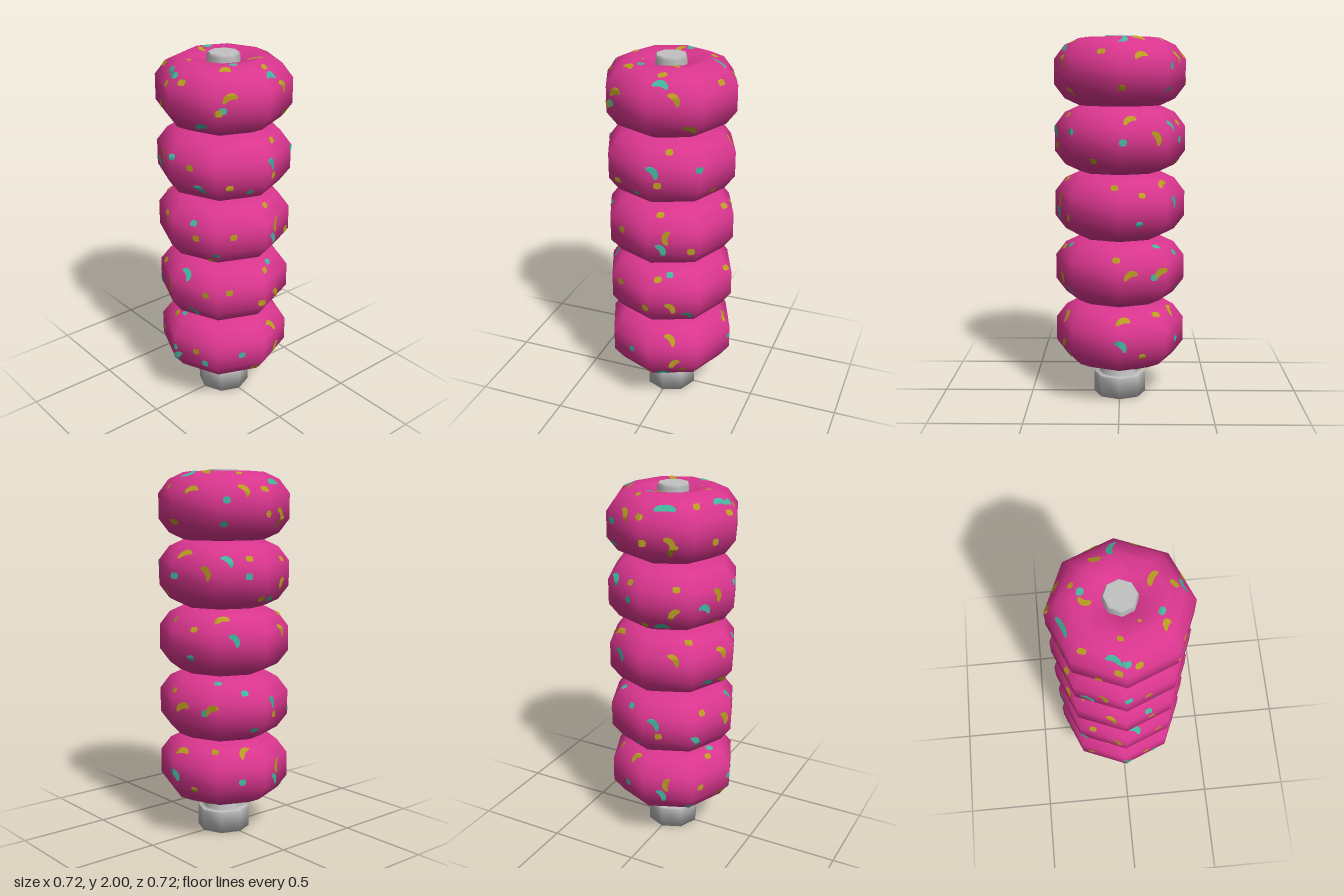
import * as THREE from 'three';

function material(name, color) {
  const m = new THREE.MeshStandardMaterial({ color });
  m.name = name;
  return m;
}
const icing = material('pinkIcing', 0xdb368f);
const metal = material('greyMetal', 0xc2c2c2);
const T = material('tealSprinkle', 0x44b59d);
const G = material('goldSprinkle', 0xb89c20);

const SIDES = 8, SPACING = 0.359, FIRST_Y = 0.371, RINGS = 5;
const { degToRad, radToDeg } = THREE.MathUtils;

// Upper half of a ring's cross-section, from waist to hole: [radius, height, distance along]
const half = [[0.357, 0], [0.357, 0.068], [0.3, 0.143], [0.22, 0.18], [0.14, 0.168], [0.08, 0.14]];
half.forEach((p, i) => {
  const q = half[Math.max(0, i - 1)];
  p.push(i ? q[2] + Math.hypot(p[0] - q[0], p[1] - q[1]) : 0);
});
const section = [...[...half].reverse().map(([r, y]) => [r, -y]), ...half.slice(1)]
  .map(([r, y]) => new THREE.Vector2(r, y));

// Linear lookup between two columns of the cross-section
function lookup(value, from, to, start = 0) {
  for (let i = start + 1; i < half.length; i++) {
    const a = half[i - 1], b = half[i];
    const t = (value - a[from]) / (b[from] - a[from]);
    if (t >= 0 && t <= 1) return a[to] + (b[to] - a[to]) * t;
  }
  return half[half.length - 1][to];
}

// Point just above the eight-sided ring, at an angle and a distance up from the waist
function surface(theta, s) {
  const wedge = 2 * Math.PI / SIDES;
  const within = theta - Math.floor(theta / wedge) * wedge - wedge / 2;
  const r = lookup(Math.abs(s), 2, 0), y = Math.sign(s) * lookup(Math.abs(s), 2, 1);
  const flat = (r + (r - 0.2) * 0.018) * Math.cos(wedge / 2) / Math.cos(within);
  return [flat * Math.sin(theta), y * 1.018, flat * Math.cos(theta)];
}

// Sprinkle: a thin bent capsule laid on the ring
function sprinkle(colour, theta, s, length, degrees, bend) {
  const along = 14, across = 4, width = Math.min(0.034, length * 0.8);
  const angle = degToRad(degrees), c = Math.cos(angle), sn = Math.sin(angle);
  const r = lookup(Math.abs(s), 2, 0);
  const pos = [], index = [];
  for (let i = 0; i <= along; i++) {
    const t = -1 + 2 * i / along;
    const halfWidth = width / 2 * Math.sqrt(Math.max(0, 1 - t ** 4));
    for (let j = 0; j <= across; j++) {
      const p = t * length / 2, q = bend * (0.5 - t * t) + halfWidth * (2 * j / across - 1);
      pos.push(...surface(theta + (p * c - q * sn) / r, s + p * sn + q * c));
      if (i < along && j < across) {
        const k = i * (across + 1) + j, n = k + across + 1;
        index.push(k, n, k + 1, k + 1, n, n + 1);
      }
    }
  }
  const g = new THREE.BufferGeometry();
  g.setAttribute('position', new THREE.Float32BufferAttribute(pos, 3));
  g.setIndex(index);
  g.computeVertexNormals();
  const mesh = new THREE.Mesh(g, colour);
  mesh.name = 'sprinkle';
  return mesh;
}

// Sprinkles per ring, bottom to top: [colour, across, up, angle]; those with an angle are long
const front = [
  [[T, 0, 0], [T, 0.02, -0.06, 65], [G, -0.05, -0.1, 5], [G, -0.21, 0], [T, -0.23, -0.12], [G, 0.14, 0.01],
    [T, -0.04, 0.16], [G, -0.1, 0.14]],
  [[T, 0.06, 0.11, -50], [G, -0.05, 0.02, -65], [T, -0.24, -0.06, -60], [T, 0.11, -0.1, -50], [G, -0.19, 0.09],
    [G, 0.2, 0.03], [G, -0.17, -0.14]],
  [[G, -0.08, 0.06, -50], [T, 0.13, 0.08], [G, 0.15, 0], [T, -0.15, -0.1, -20], [G, -0.03, -0.12, -45],
    [G, 0.19, -0.13], [G, -0.22, 0.14]],
  [[T, -0.2, -0.03, -25], [G, -0.12, 0.03, -65], [T, 0.01, 0.07], [G, 0.12, 0.03], [T, 0.17, -0.08, -30],
    [G, -0.07, -0.14], [G, -0.3, 0.08]],
  [[T, -0.06, 0.13, -10], [T, 0, 0.125], [G, -0.04, 0.08], [G, 0.06, 0.1], [G, -0.14, -0.05], [G, -0.31, -0.08, 60],
    [T, 0.16, -0.11, 20], [G, 0.26, -0.02], [G, -0.2, 0.13]],
];
const side = [
  [[T, -0.13, 0], [G, 0.11, 0.1, -50], [G, 0.14, -0.05, 50], [G, -0.03, -0.12], [T, 0.06, -0.13, 0], [T, -0.3, -0.05],
    [G, 0.18, -0.09]],
  [[G, 0.12, -0.04, -50], [G, -0.02, -0.04], [T, 0.2, -0.09, -40], [G, 0.04, 0.12], [T, 0.1, 0.14], [G, -0.2, 0.05]],
  [[T, 0.07, -0.04, -60], [G, 0.1, 0.03, 80], [G, -0.18, 0.02], [G, 0.22, -0.05], [T, -0.25, -0.08], [G, 0.05, 0.14]],
  [[T, 0.03, 0.04, -50], [G, 0.055, -0.03], [T, -0.08, -0.1], [G, -0.2, -0.06], [G, 0.1, 0.13], [T, 0.25, 0.05],
    [G, 0.3, -0.1]],
  [[T, 0.06, 0.12, -15], [G, 0.14, 0.06, -50], [G, -0.2, 0.05, 15], [T, -0.23, -0.01], [G, 0.2, -0.1, -30]],
];
const back = [
  [[T, -0.17, 0, -40], [G, 0.21, 0.13, 50], [G, 0.06, 0.14], [T, 0.22, -0.02], [G, -0.05, -0.07], [G, -0.14, 0.12, 10]],
  [[G, -0.18, 0.1], [T, 0.07, 0.15], [G, 0.06, 0.02, 30], [T, 0.02, 0], [G, -0.12, 0.02, 20], [T, 0.22, 0.1]],
  [[T, 0.18, 0.03, -50], [T, -0.07, -0.07], [G, -0.18, 0.12], [G, -0.05, 0.08], [G, 0.1, 0.13, 15]],
  [[T, 0.14, 0.08, -45], [G, 0.03, 0.02, -60], [G, -0.11, 0.11, 25], [T, -0.16, 0], [G, 0.24, 0.09]],
  [[G, -0.06, 0.08, 15], [T, 0.14, 0.03], [G, 0.22, 0.08, -50], [T, 0.12, -0.09], [G, -0.16, -0.08]],
];

// Sprinkles on the top face, seen from above: [colour, across, up, length, angle, bend]
const topSprinkles = [
  [T, -0.02, 0.25, 0.085, 75, 0.02], [G, -0.1, 0.2, 0.065, 0, -0.01], [G, -0.22, 0.08, 0.036, 60, 0],
  [T, -0.18, 0.04, 0.045, 90, 0], [G, -0.165, -0.01, 0.065, -15, -0.012], [G, 0.155, 0.075, 0.085, 60, 0.018],
  [G, 0.25, 0.05, 0.05, -60, 0], [T, 0.18, -0.09, 0.046, 50, 0], [G, 0.195, -0.15, 0.06, 45, 0.012],
  [T, -0.275, -0.1, 0.12, -70, 0.01], [G, -0.02, -0.205, 0.033, 0, 0], [G, 0.075, -0.125, 0.02, 0, 0],
  [G, 0.09, 0.295, 0.05, -15, 0], [G, -0.34, 0.01, 0.045, 80, 0],
];

// Lay a list of sprinkles around the side of a ring, centred on a heading
function sideSprinkles(list, heading) {
  const group = new THREE.Group();
  group.name = 'sideSprinkles';
  list.forEach(([colour, h, v, angle]) => {
    const s = Math.sign(v) * lookup(Math.abs(v), 1, 2);
    const theta = degToRad(heading) + Math.asin(h / lookup(Math.abs(v), 1, 0));
    const long = angle !== undefined;
    group.add(sprinkle(colour, theta, s, long ? 0.085 : 0.043, long ? angle : 0, long ? 0.018 : 0));
  });
  return group;
}

// Lay sprinkles on the top (sign 1) or underside (sign -1) of a ring
function capSprinkles(list, sign) {
  const group = new THREE.Group();
  group.name = 'capSprinkles';
  list.forEach(([colour, h, v, length, angle, bend]) => {
    const a = Math.abs(h), b = Math.abs(v), theta = Math.atan2(h, -v);
    const r = Math.max(a, b) + 0.4142 * Math.min(a, b);
    group.add(sprinkle(colour, theta, sign * lookup(r, 0, 2, 1), length, sign * (angle - radToDeg(theta)), sign * bend));
  });
  return group;
}

function turned(name, points) {
  const profile = points.map(([r, y]) => new THREE.Vector2(r, y));
  const mesh = new THREE.Mesh(new THREE.LatheGeometry(profile, SIDES), metal);
  mesh.name = name;
  return mesh;
}

export function createModel() {
  const model = new THREE.Group();
  model.name = 'ringStack';

  // Metal base with neck, and the spindle through the rings
  model.add(
    turned('base', [[0, 0], [0.145, 0], [0.145, 0.115], [0.138, 0.122], [0.104, 0.122], [0.104, 0.3]]),
    turned('spindle', [[0.086, 0.3], [0.086, 1.985], [0.08, 2], [0.078, 2], [0, 2]]),
  );

  // Stacked iced rings
  const ringGeometry = new THREE.LatheGeometry(section, SIDES);
  for (let i = 0; i < RINGS; i++) {
    const ring = new THREE.Group();
    ring.name = 'ring' + (i + 1);
    ring.position.y = FIRST_Y + i * SPACING;
    const body = new THREE.Mesh(ringGeometry, icing);
    body.name = 'icedRing';
    const left = side[(i + 2) % RINGS].filter(([, h, v]) => Math.abs(h) < 0.15 && v < 0.1);
    ring.add(body, sideSprinkles(front[i], 0), sideSprinkles(side[i], 90),
      sideSprinkles(back[i], 210), sideSprinkles(left, 275));
    if (i === RINGS - 1) ring.add(capSprinkles(topSprinkles, 1));
    if (i === 0) ring.add(capSprinkles(topSprinkles.slice(1, 7), -1));
    model.add(ring);
  }
  return model;
}
